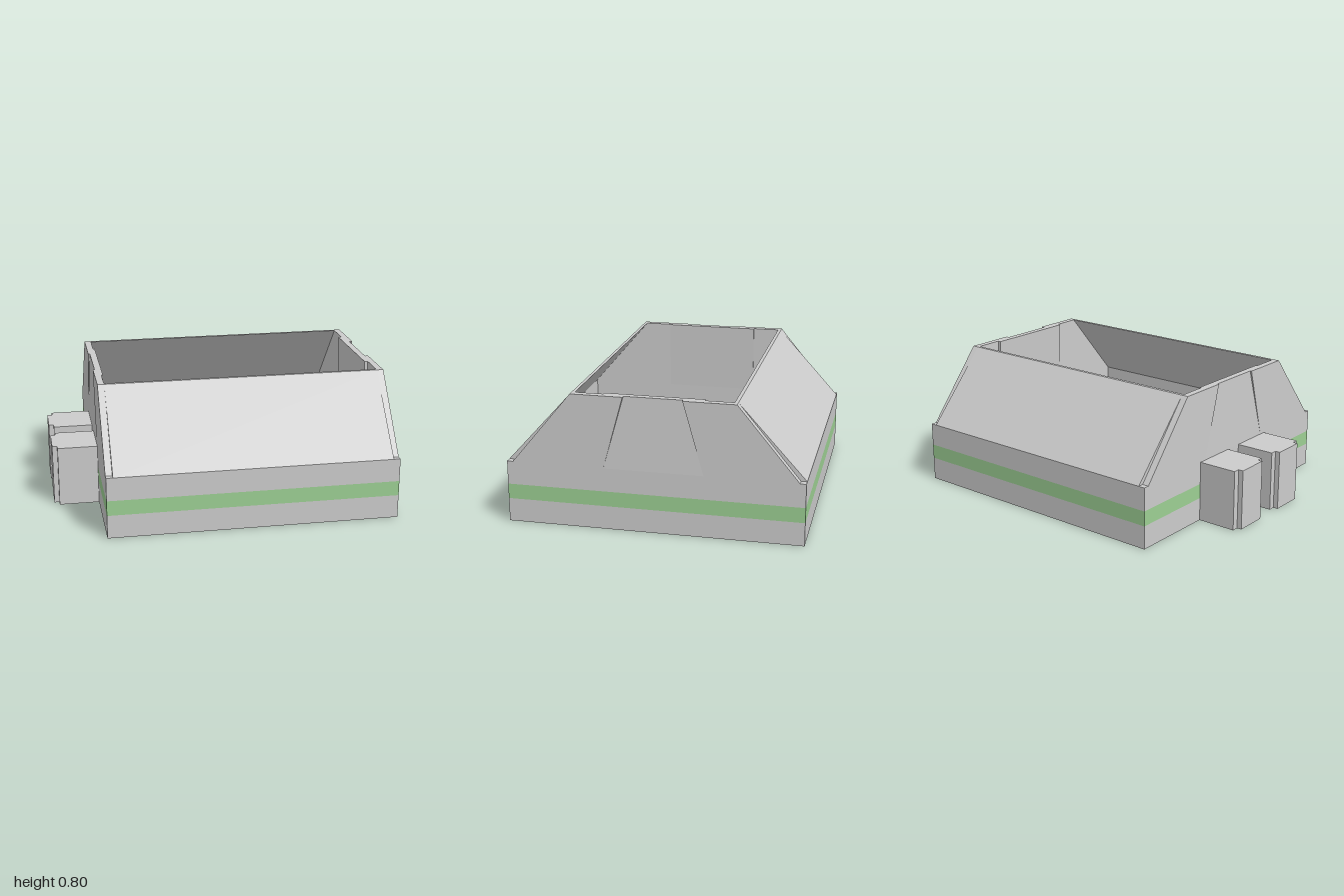
import * as THREE from 'three';

const X0 = -0.73, X1 = 1, ZH = 0.865, T = 0.04;   // outer limits and wall thickness
const RIM = 0.37, TOP = 0.8;                      // tops of the tray and of the hood
const MID = (X0 + X1) / 2;

export function createModel() {
  const model = new THREE.Group();
  const material = (color) => new THREE.MeshStandardMaterial({ color, flatShading: true });
  const grey = material(0xcccccc), green = material(0x9ccf93), dark = material(0xaaaaaa);

  const add = (name, geometry, mat = grey) => {
    const mesh = new THREE.Mesh(geometry, mat);
    mesh.name = name;
    model.add(mesh);
    return mesh;
  };
  const box = (name, x0, x1, y0, y1, z0, z1, mat) =>
    add(name, new THREE.BoxGeometry(x1 - x0, y1 - y0, z1 - z0), mat)
      .position.set((x0 + x1) / 2, (y0 + y1) / 2, (z0 + z1) / 2);

  // Extrude a [z, y] outline along x
  const profile = (name, points, x0, x1) => {
    const shape = new THREE.Shape(points.map(([z, y]) => new THREE.Vector2(-z, y)));
    const geometry = new THREE.ExtrudeGeometry(shape, { depth: x1 - x0, bevelEnabled: false });
    add(name, geometry.rotateY(Math.PI / 2).translate(x0, 0, 0));
  };

  // Rectangular ring of tray wall between two heights
  const rectangle = (Type, inset) => new Type([
    new THREE.Vector2(X0 + inset, -ZH + inset), new THREE.Vector2(X1 - inset, -ZH + inset),
    new THREE.Vector2(X1 - inset, ZH - inset), new THREE.Vector2(X0 + inset, ZH - inset),
  ]);
  const ring = (name, y0, y1, mat) => {
    const shape = rectangle(THREE.Shape, 0);
    shape.holes.push(rectangle(THREE.Path, T));
    const geometry = new THREE.ExtrudeGeometry(shape, { depth: y1 - y0, bevelEnabled: false });
    add(name, geometry.rotateX(-Math.PI / 2).translate(0, y0, 0), mat);
  };

  // Tray: walls with a coloured stripe, floor and darker middle strip
  ring('lowerWall', 0, 0.14);
  ring('stripe', 0.14, 0.23, green);
  ring('upperWall', 0.23, RIM);
  box('floor', X0 + T, X1 - T, 0, 0.02, -ZH + T, ZH - T);
  box('floorStrip', MID - 0.465, MID + 0.465, 0.02, 0.025, -ZH + T, ZH - T, dark);

  for (const s of [1, -1]) {
    // Sloping plates at front and back
    profile(s > 0 ? 'frontSlope' : 'backSlope',
      [[0.475, TOP], [ZH, RIM], [0.825, RIM], [0.455, TOP]].map(([z, y]) => [s * z, y]),
      X0 + T, X1 - T);

    // End wall halves with a tapering gap between them
    const half = [[0.17, TOP], [0.475, TOP], [0.83, RIM], [0.29, RIM]].map(([z, y]) => [s * z, y]);
    profile('leftEndWall', half, X1 - T, X1);
    profile('rightEndWall', half, X0, X0 + T);

    // Stepped boxes on the right end
    const z = s > 0 ? 0.19 : -0.2;
    box('sideBox', -0.97, X0, 0, 0.365, z - 0.14, z + 0.14);
    box('sideBoxFace', -1, -0.97, 0, 0.365, z - 0.1, z + 0.1);
  }

  // Middle end panels, leaning inward behind the gaps
  const leaningPanel = (name, x, lean) => {
    const geometry = new THREE.BoxGeometry(T, TOP - RIM, 0.58).translate(x, (TOP + RIM) / 2, 0);
    const p = geometry.attributes.position;
    for (let i = 0; i < p.count; i++) {
      p.setX(i, p.getX(i) + lean * (p.getY(i) - RIM) / (TOP - RIM));
    }
    geometry.computeVertexNormals();
    add(name, geometry);
  };
  leaningPanel('leftEndPanel', X1 - T / 2, -0.02);
  leaningPanel('rightEndPanel', X0 + T / 2, 0.01);

  return model;
}
